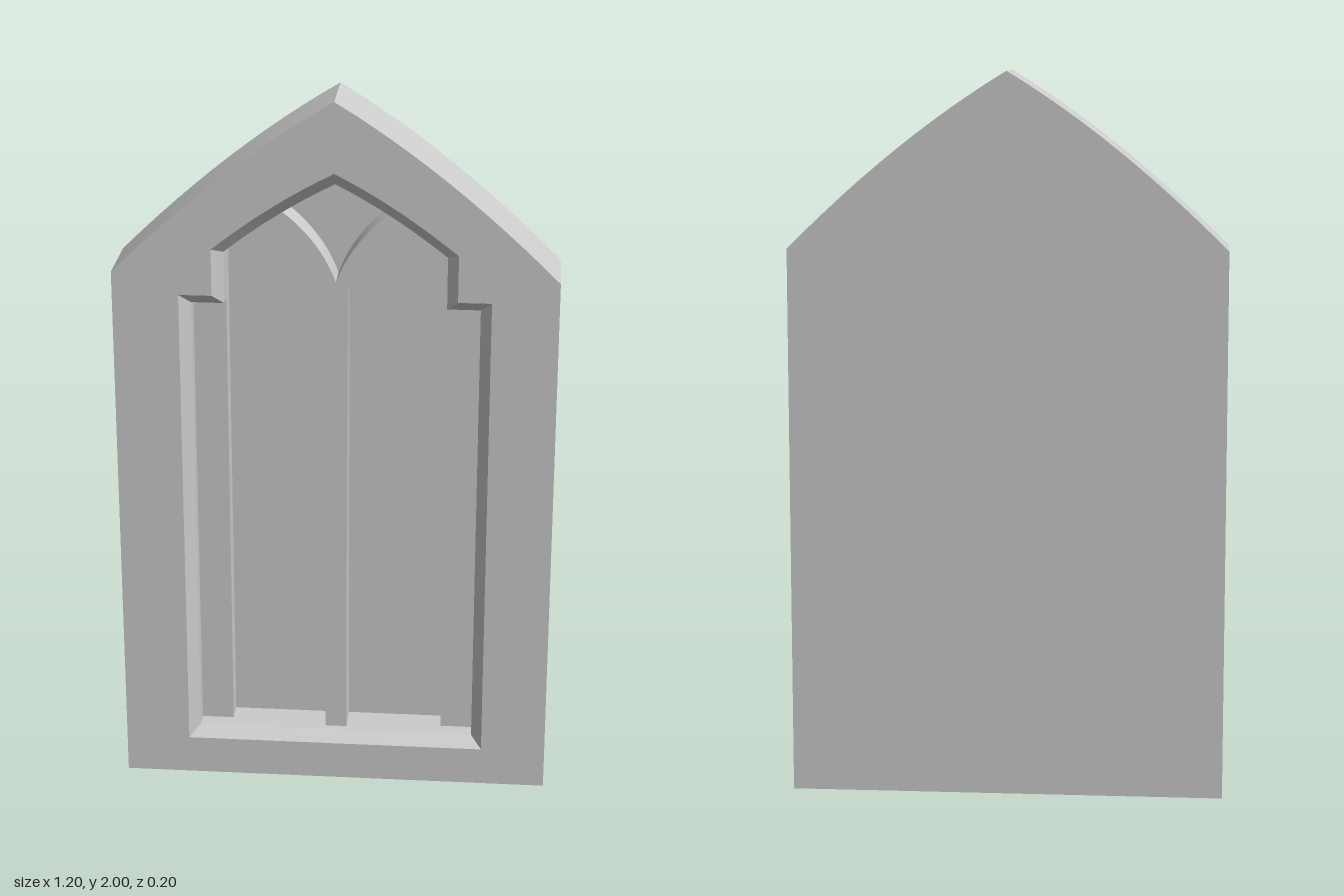
import * as THREE from 'three';
import { toCreasedNormals } from 'three/addons/utils/BufferGeometryUtils.js';

const FRONT = 0.1, BACK = -0.1, BEVEL = 0.07, PANEL = -0.035;
const JAMB = 0.025, TRACERY = 0.05;
const V = (x, y) => new THREE.Vector2(x, y);

// Mirrors the right half of an outline (listed bottom to apex) into a closed loop
function mirrored(half) {
  const left = half.slice(0, -1).reverse().map(p => V(-p.x, p.y));
  return [...half, ...left];
}

// Shallow curve from the springing point up to the apex
function arch(x, y, controlY, apexY, n) {
  return new THREE.QuadraticBezierCurve(V(x, y), V(x / 2, controlY), V(0, apexY)).getPoints(n);
}

// Wall between two matching loops; faces outward, or inward for openings
function wall(a, za, b, zb, inward = false) {
  if (inward) { a = [...a].reverse(); b = [...b].reverse(); }
  const pos = [];
  a.forEach((p, i) => {
    const j = (i + 1) % a.length;
    const p0 = [p.x, p.y, za], p1 = [a[j].x, a[j].y, za];
    const q0 = [b[i].x, b[i].y, zb], q1 = [b[j].x, b[j].y, zb];
    pos.push(...p0, ...q0, ...q1, ...p0, ...q1, ...p1);
  });
  const g = new THREE.BufferGeometry();
  g.setAttribute('position', new THREE.Float32BufferAttribute(pos, 3));
  return toCreasedNormals(g, 0.4);
}

export function createModel() {
  const group = new THREE.Group();
  const material = new THREE.MeshStandardMaterial({ color: 0xcccccc });
  const add = (name, geometry, z = 0) => {
    const mesh = new THREE.Mesh(geometry, material);
    mesh.name = name;
    mesh.position.z = z;
    group.add(mesh);
    return mesh;
  };

  // Outlines of the slab, the opening's edge and the foot of its bevel
  const slab = mirrored([V(0.6, 0), ...arch(0.6, 1.52, 1.82, 2, 12)]);
  const outer = mirrored([V(0.42, 0.11), V(0.42, 1.46), V(0.33, 1.46), ...arch(0.33, 1.59, 1.724, 1.807, 8)]);
  const inner = mirrored([V(0.39, 0.14), V(0.39, 1.43), V(0.3, 1.43), ...arch(0.3, 1.575, 1.695, 1.77, 8)]);

  // Pointed slab with a stepped opening
  const face = new THREE.Shape(slab);
  face.holes.push(new THREE.Path(outer));
  add('frameFace', new THREE.ShapeGeometry(face), FRONT);
  add('frameEdge', wall(slab, FRONT, slab, BACK));
  add('frameBack', new THREE.ShapeGeometry(new THREE.Shape(slab)).rotateY(Math.PI), BACK);

  // Recess: bevel, straight reveal and rear panel
  add('openingBevel', wall(outer, FRONT, inner, BEVEL, true));
  add('openingReveal', wall(inner, BEVEL, inner, PANEL, true));
  add('windowPanel', new THREE.ShapeGeometry(new THREE.Shape(inner)), PANEL);

  // Side jambs
  for (const side of [1, -1]) {
    const jamb = add(side > 0 ? 'leftJamb' : 'rightJamb',
      new THREE.BoxGeometry(0.09, 1.29, JAMB - PANEL), (JAMB + PANEL) / 2);
    jamb.position.x = side * 0.345;
    jamb.position.y = 0.785;
  }

  // Central mullion splitting into two curved branches
  const under = new THREE.QuadraticBezierCurve(V(0.03, 1.465), V(0.065, 1.585), V(0.19, 1.668)).getPoints(10);
  const over = new THREE.QuadraticBezierCurve(V(0.148, 1.688), V(0.04, 1.605), V(0, 1.49)).getPoints(10);
  const tracery = new THREE.Shape(mirrored([V(0.03, 0.14), ...under, ...over]));
  const geometry = new THREE.ExtrudeGeometry(tracery, { depth: TRACERY - PANEL, bevelEnabled: false });
  add('mullionTracery', toCreasedNormals(geometry, 0.5), PANEL);

  return group;
}
